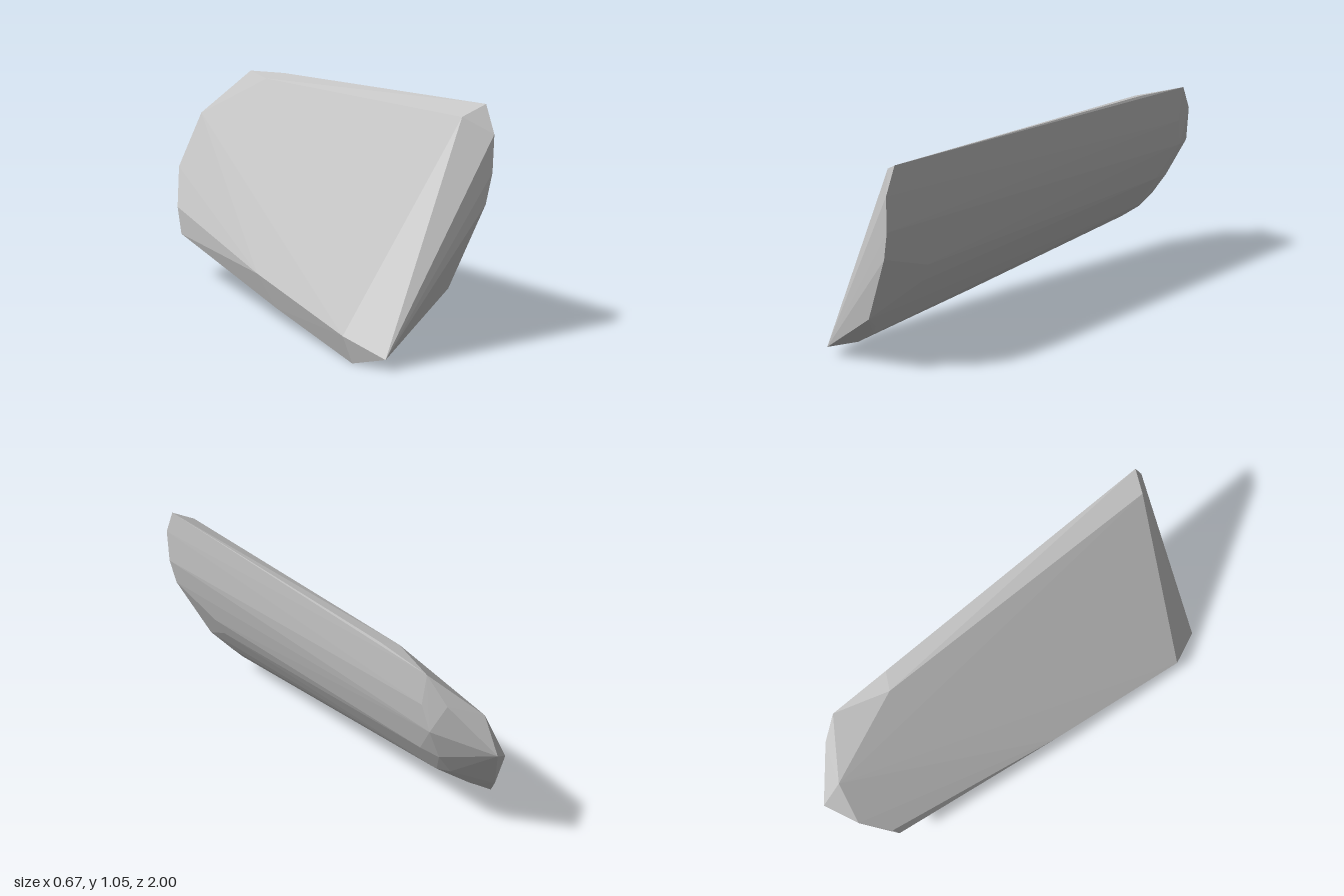
import * as THREE from 'three';
import { ConvexGeometry } from 'three/addons/geometries/ConvexGeometry.js';

// A leaning stone slab: the faceted hull of its corner rings.
const corners = {
  // front end, bevel above and rounded underside below
  frontBevel: [[-0.3, 0.12, 0.83], [0.22, 1.0, 0.895], [0.32, 1.05, 0.92]],
  frontRim: [
    [-0.26, 0, 0.84], [-0.195, 0.05, 1.0], [-0.09, 0.09, 0.9], [0, 0.16, 0.87],
    [0.054, 0.22, 0.89], [0.125, 0.3, 0.96], [0.295, 0.64, 0.97], [0.325, 0.77, 0.97],
    [0.33, 0.93, 0.97],
  ],
  // swell of the underside towards each end
  underside: [[0.225, 0.53, 0.72], [0.18, 0.44, 0.72], [0.015, 0.55, -0.68], [-0.085, 0.39, -0.67]],
  // slight bends along the long edges
  longEdges: [[-0.332, 0.22, 0.1], [-0.288, 0.08, 0.2], [0.03, 0.995, -0.53], [0.108, 1.02, -0.5]],
  // narrower rear end
  rearRim: [
    [0.07, 1.0, -0.785], [0.073, 0.84, -0.76], [0.05, 0.71, -0.79], [-0.02, 0.54, -0.77],
    [-0.1, 0.42, -0.75], [-0.2, 0.32, -0.75], [-0.33, 0.225, -0.75], [-0.335, 0.355, -0.78],
  ],
  rearPoint: [
    [0.02, 0.87, -0.865], [-0.145, 0.79, -0.905], [-0.27, 0.53, -0.905],
    [-0.26, 0.36, -0.86], [-0.15, 0.635, -1.0],
  ],
};

export function createModel() {
  const group = new THREE.Group();
  group.name = 'rock';
  const stone = new THREE.MeshStandardMaterial({ color: 0xc4c4c4 });
  stone.name = 'stone grey';

  const points = Object.values(corners).flat().map((p) => new THREE.Vector3(...p));
  const slab = new THREE.Mesh(new ConvexGeometry(points), stone);
  slab.name = 'stoneSlab';
  group.add(slab);
  return group;
}
